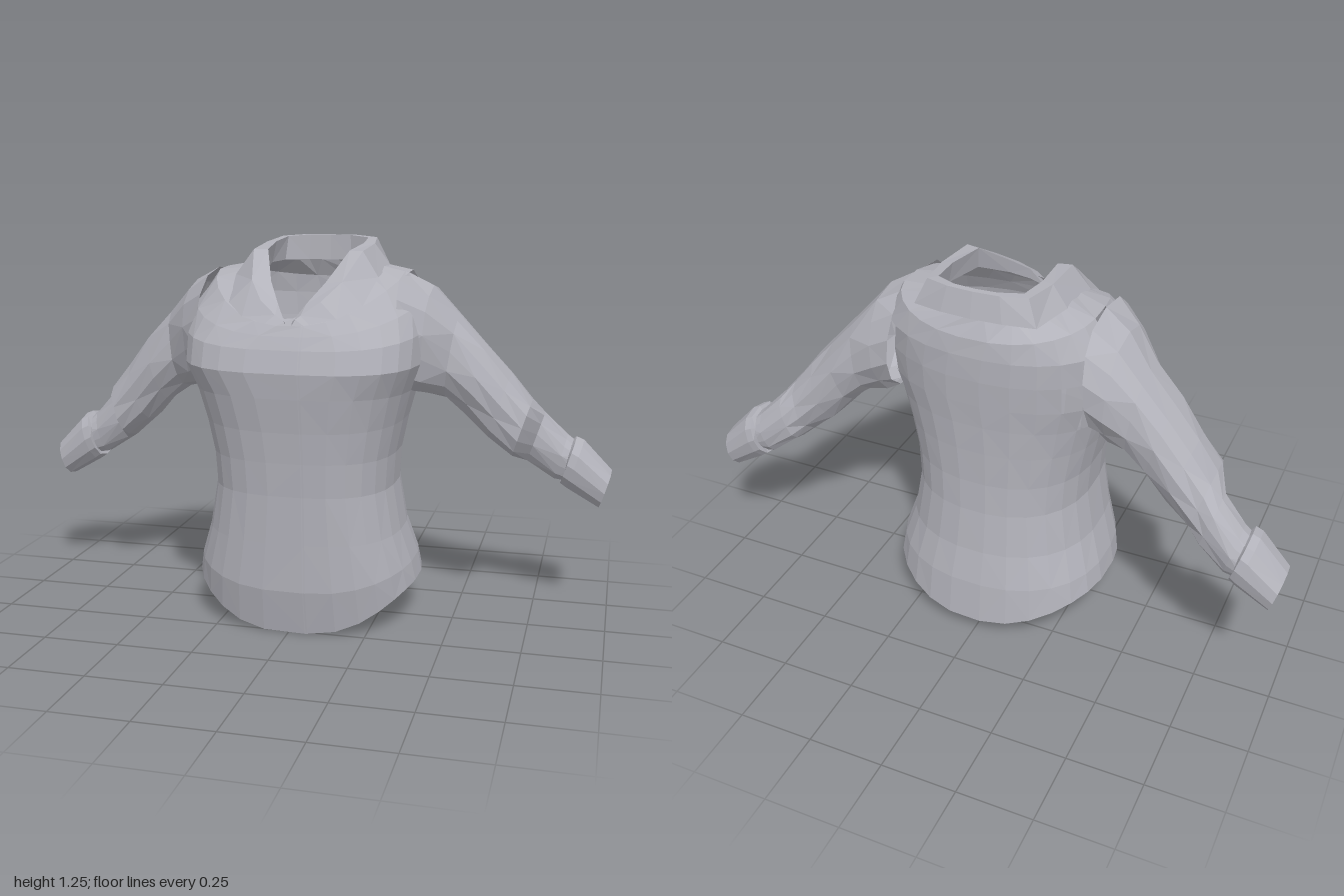
import * as THREE from 'three';

const fabric = new THREE.MeshStandardMaterial({ color: 0xb2b2ba, side: THREE.DoubleSide, flatShading: true });
fabric.name = 'greyFabric';

// Skin a grid of points (rows of equal length) into one faceted sheet,
// leaving out the cells whose centre lies in a hole
function sheet(name, rows, isHole = () => false) {
  const cols = rows[0].length, index = [];
  for (let r = 0; r < rows.length - 1; r++) {
    for (let c = 0; c < cols - 1; c++) {
      const corners = [rows[r][c], rows[r][c + 1], rows[r + 1][c], rows[r + 1][c + 1]];
      const centre = [0, 1, 2].map((k) => corners.reduce((sum, p) => sum + p[k] / 4, 0));
      if (isHole(...centre)) continue;
      const a = r * cols + c, b = a + cols;
      if ((r + c) % 2) index.push(a, a + 1, b, a + 1, b + 1, b);
      else index.push(a, a + 1, b + 1, a, b + 1, b);
    }
  }
  const geo = new THREE.BufferGeometry();
  geo.setAttribute('position', new THREE.Float32BufferAttribute(rows.flat(2), 3));
  geo.setIndex(index);
  geo.computeVertexNormals();
  const mesh = new THREE.Mesh(geo, fabric);
  mesh.name = name;
  return mesh;
}

const power = (v, p) => Math.sign(v) * Math.abs(v) ** p;

// Armholes open into the sleeves
const inArmhole = (x, y, z) =>
  Math.abs(x) > 0.25 && ((y - 0.96) / 0.16) ** 2 + ((z + 0.06) / 0.17) ** 2 < 1;

// Body: rings from hem to neckline, open along a slit at the front
function createBody() {
  // half width, side y, front y, back y, front z, back z, centre z, front squareness, curve of the drop
  const rings = [
    [0.375, 0.145, 0.0, 0.055, 0.265, -0.36, -0.02, 2.7, 3.5],
    [0.362, 0.21, 0.15, 0.2, 0.297, -0.345, -0.02, 2.7, 3],
    [0.325, 0.32, 0.31, 0.32, 0.303, -0.32, 0, 2.7, 2],
    [0.298, 0.47, 0.47, 0.47, 0.31, -0.302, 0, 2.7, 2],
    [0.305, 0.58, 0.58, 0.58, 0.32, -0.296, 0, 2.7, 2],
    [0.328, 0.69, 0.68, 0.7, 0.332, -0.297, 0, 2.7, 2],
    [0.355, 0.79, 0.79, 0.8, 0.35, -0.3, 0, 2.8, 2],
    [0.388, 0.88, 0.87, 0.88, 0.36, -0.305, 0, 3.1, 2],
    [0.39, 0.98, 0.94, 0.97, 0.342, -0.31, -0.03, 3.0, 2],
    [0.375, 1.07, 0.98, 1.05, 0.325, -0.31, -0.07, 2.6, 2],
    [0.32, 1.155, 1.01, 1.11, 0.31, -0.303, -0.08, 2.2, 2],
    [0.185, 1.18, 1.03, 1.17, 0.3, -0.275, -0.07, 1.6, 2],
  ];
  const segments = 28;
  const points = rings.map(([w, ys, yf, yb, zf, zb, zc, n, curve]) => {
    const slit = (x) => Math.acos((x / w) ** (n / 2));
    const start = slit(0.054), end = slit(0.045) + Math.PI * 2;
    return Array.from({ length: segments + 1 }, (_, i) => {
      const t = end + (start - end) * i / segments;
      const front = Math.sin(t) > 0, m = front ? n : 2.3;
      const c = power(Math.cos(t), 2 / m), s = Math.abs(Math.sin(t)) ** (2 / m);
      const edge = front ? zf : zb, drop = front ? yf : yb;
      return [w * c, ys + (drop - ys) * s ** curve, zc + (edge - zc) * s];
    });
  });
  const body = sheet('body', points, inArmhole);
  body.position.x = 0.01;
  return body;
}

// Ring through a top and a bottom point, with given front and back depth
function tubeRing([tx, ty, bx, by, zf, zb], side, count, crease, row) {
  return Array.from({ length: count + 1 }, (_, i) => {
    const k = (i * side + count) % count, t = Math.PI * 2 * k / count;
    const r = 1 + crease * Math.sin(k * 2.4 + row * 1.9);
    const c = Math.cos(t) * r, s = power(Math.sin(t), 0.75) * r;
    return [
      side * ((tx + bx) / 2 + (tx - bx) / 2 * c),
      (ty + by) / 2 + (ty - by) / 2 * c,
      (zf + zb) / 2 + (zf - zb) / 2 * s,
    ];
  });
}

// Sleeve: wide at the armhole, bagging at the elbow, narrow forearm
function createSleeve(side) {
  // top x, top y, bottom x, bottom y, front z, back z
  const sleeve = [
    [0.315, 1.157, 0.345, 0.77, 0.19, -0.255],
    [0.405, 1.105, 0.385, 0.755, 0.12, -0.25],
    [0.49, 1.015, 0.45, 0.74, 0.04, -0.24],
    [0.58, 0.915, 0.515, 0.69, 0.025, -0.24],
    [0.66, 0.82, 0.59, 0.61, 0.005, -0.245],
    [0.73, 0.735, 0.67, 0.545, -0.005, -0.255],
    [0.77, 0.685, 0.715, 0.515, -0.125, -0.27],
    [0.845, 0.605, 0.805, 0.455, -0.14, -0.29],
    [0.895, 0.565, 0.855, 0.445, -0.145, -0.29],
  ];
  // Cuff: thick band whose wall turns back inside
  const cuff = [
    [0.86, 0.585, 0.835, 0.455, -0.14, -0.29],
    [0.875, 0.6, 0.825, 0.44, -0.122, -0.308],
    [0.9, 0.59, 0.845, 0.425, -0.122, -0.31],
    [0.995, 0.49, 0.955, 0.362, -0.14, -0.3],
    [0.985, 0.485, 0.955, 0.378, -0.153, -0.288],
    [0.9, 0.56, 0.87, 0.45, -0.15, -0.285],
  ];
  const group = new THREE.Group();
  group.name = side > 0 ? 'leftSleeve' : 'rightSleeve';
  group.add(
    sheet('sleeve', sleeve.map((p, r) => tubeRing(p, side, 14, r ? 0.03 : 0, r))),
    sheet('cuff', cuff.map((p, r) => tubeRing(p, side, 12, 0, r))),
  );
  return group;
}

// Collar: inner stand, fold line and turned-down outer edge
function createCollar() {
  const half = [
    [[0.01, 1.0, 0.305], [0.012, 1.025, 0.308], [0.04, 1.045, 0.312], [0.07, 1.02, 0.325]],
    [[0.045, 1.035, 0.27], [0.045, 1.075, 0.262], [0.095, 1.085, 0.28], [0.15, 1.035, 0.3]],
    [[0.09, 1.085, 0.195], [0.088, 1.135, 0.185], [0.145, 1.14, 0.205], [0.215, 1.07, 0.225]],
    [[0.145, 1.15, 0.07], [0.135, 1.225, 0.055], [0.18, 1.225, 0.065], [0.235, 1.145, 0.085]],
    [[0.165, 1.17, -0.1], [0.15, 1.24, -0.1], [0.185, 1.238, -0.105], [0.235, 1.17, -0.11]],
    [[0.15, 1.17, -0.21], [0.14, 1.25, -0.215], [0.165, 1.25, -0.24], [0.2, 1.17, -0.265]],
    [[0.075, 1.17, -0.25], [0.07, 1.255, -0.25], [0.085, 1.255, -0.27], [0.1, 1.175, -0.29]],
  ];
  const back = [[0, 1.17, -0.255], [0, 1.255, -0.255], [0, 1.255, -0.275], [0, 1.175, -0.295]];
  const mirrored = half.map((row) => row.map(([x, y, z]) => [-x, y, z])).reverse();
  const collar = sheet('collar', [...half, back, ...mirrored]);
  collar.position.x = 0.015;
  return collar;
}

export function createModel() {
  const model = new THREE.Group();
  model.name = 'shirt';
  model.add(createBody(), createCollar(), createSleeve(1), createSleeve(-1));
  return model;
}
